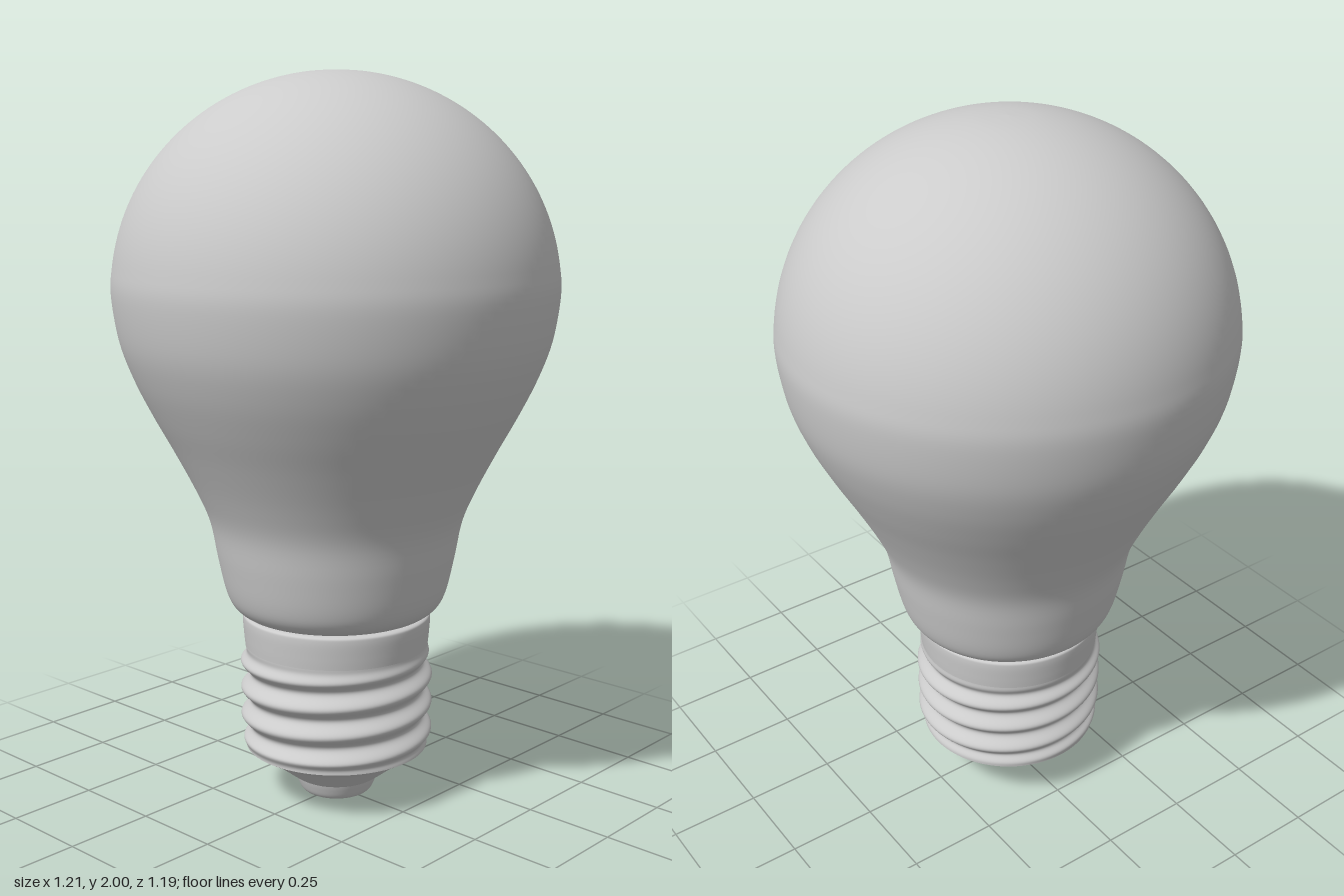
import * as THREE from 'three';
import { mergeVertices } from 'three/addons/utils/BufferGeometryUtils.js';

const material = new THREE.MeshStandardMaterial({ color: 0xcccccc, side: THREE.DoubleSide });
const v = (r, y) => new THREE.Vector2(r, y);

function part(name, geometry) {
  const mesh = new THREE.Mesh(geometry, material);
  mesh.name = name;
  return mesh;
}

// Smooth lathe through a few profile points, bottom to top
function turned(points, samples, segments = 96) {
  const curve = new THREE.SplineCurve(points.map(([r, y]) => v(r, y)));
  return new THREE.LatheGeometry(curve.getPoints(samples), segments);
}

// Screw thread: a cylinder whose radius follows a right-handed helix
function threadGeometry(y0, y1) {
  const rows = 100, pitch = 0.078, core = 0.256, depth = 0.013;
  const profile = [];
  for (let i = 0; i <= rows; i++) profile.push(v(core, y0 + (y1 - y0) * i / rows));
  const geo = new THREE.LatheGeometry(profile, 96);
  const pos = geo.attributes.position;
  for (let i = 0; i < pos.count; i++) {
    const x = pos.getX(i), y = pos.getY(i), z = pos.getZ(i);
    const turn = (Math.atan2(x, z) + Math.PI / 2) / (2 * Math.PI);
    const fade = THREE.MathUtils.smoothstep(y, y0, y0 + 0.035) * (1 - THREE.MathUtils.smoothstep(y, y1 - 0.05, y1));
    const wave = Math.cos(2 * Math.PI * ((y - 0.4) / pitch - turn));
    const k = (core + depth * wave * fade) / core;
    pos.setXYZ(i, x * k, y, z * k);
  }
  // weld the seam so that the normals run smoothly round it
  geo.deleteAttribute('uv');
  geo.deleteAttribute('normal');
  const welded = mergeVertices(geo, 1e-5);
  welded.computeVertexNormals();
  return welded;
}

export function createModel() {
  const group = new THREE.Group();
  group.name = 'lightBulb';

  // Glass envelope: rounded shoulder, neck, flare, then an elliptical dome
  const glassPoints = [
    [0.235, 0.532], [0.265, 0.54], [0.293, 0.565], [0.312, 0.61], [0.332, 0.7],
    [0.352, 0.8], [0.39, 0.89], [0.447, 1.0], [0.502, 1.1], [0.551, 1.2], [0.586, 1.3],
  ];
  for (let i = 0; i <= 12; i++) {
    const a = (i / 12) * Math.PI / 2;
    glassPoints.push([0.604 * Math.cos(a), 1.42 + 0.58 * Math.sin(a)]);
  }
  const glass = part('glassBulb', turned(glassPoints, 120));
  glass.scale.z = 0.985;
  group.add(glass);

  // Plain collar between the glass and the thread
  group.add(part('capCollar', turned([
    [0.23, 0.534], [0.257, 0.53], [0.262, 0.515], [0.259, 0.47], [0.256, 0.44],
  ].reverse(), 24)));

  group.add(part('screwThread', threadGeometry(0.145, 0.44)));

  // Insulator cone below the thread
  group.add(part('insulator', turned([
    [0.1, 0.042], [0.125, 0.055], [0.168, 0.088], [0.215, 0.123], [0.244, 0.138], [0.256, 0.145],
  ], 30)));

  // Contact button with a shallow dimple
  group.add(part('contact', turned([
    [0, 0.012], [0.03, 0.011], [0.055, 0.002], [0.085, 0.003], [0.1, 0.012], [0.111, 0.035], [0.118, 0.055],
  ], 30)));

  return group;
}
